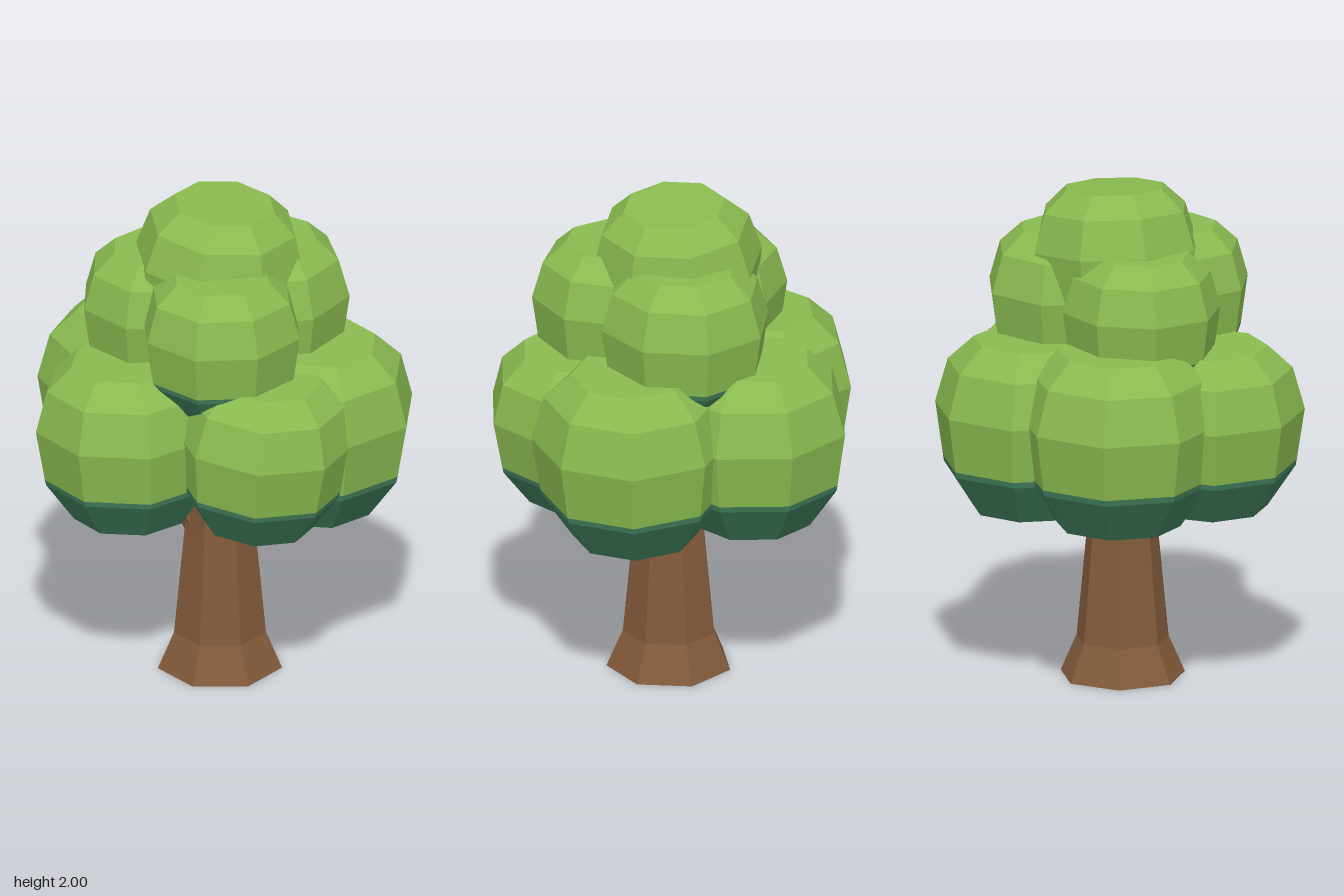
import * as THREE from 'three';

const mat = (name, color) => {
  const m = new THREE.MeshStandardMaterial({ color, flatShading: true });
  m.name = name;
  return m;
};

// Faceted solid of revolution; profile runs bottom to top, phase turns its corners (degrees from +x towards +z)
function facetedLathe(profile, sides, phase) {
  const points = profile.map(([r, y]) => new THREE.Vector2(r, y));
  return new THREE.LatheGeometry(points, sides, THREE.MathUtils.degToRad(90 - phase));
}

// Leaf clump cross-section for radius 1; the underside ends just above the lower ring
const UNDERSIDE = [[0, -1.05], [0.62, -1.05], [0.91, -0.62], [0.92, -0.56]];
const CROWN = [[0.92, -0.56], [1, 0], [0.87, 0.45], [0.6, 0.7], [0, 0.7]];

// name, x, y of the widest ring, z, radius, phase, tilt about z
const CLUMPS = [
  ['lowerBackClump', -0.04, 1.13, -0.32, 0.39, 30, 0],
  ['lowerLeftClump', 0.355, 1.13, -0.03, 0.4, 9, -0.03],
  ['lowerRightClump', -0.385, 1.14, -0.075, 0.4, 26, 0.02],
  ['lowerFrontRightClump', -0.3, 1.13, 0.327, 0.375, 14, 0.03],
  ['lowerFrontLeftClump', 0.253, 1.14, 0.313, 0.36, 31, -0.07],
  ['middleFrontClump', 0.065, 1.565, 0.275, 0.325, 1, 0],
  ['middleRightClump', -0.26, 1.55, 0.06, 0.315, 7, 0],
  ['middleBackClump', 0.12, 1.565, -0.11, 0.34, 38, 0],
  ['topClump', -0.02, 1.745, 0.03, 0.34, 42, -0.085],
];

export function createModel() {
  const tree = new THREE.Group();
  tree.name = 'tree';
  const leaf = mat('leaf green', 0x8aba50);
  const shade = mat('underside green', 0x3f7a58);
  const bark = mat('bark brown', 0x835b3b);

  const add = (parent, name, geometry, material) => {
    const mesh = new THREE.Mesh(geometry, material);
    mesh.name = name;
    parent.add(mesh);
    return mesh;
  };

  // Flared seven-sided trunk
  const trunk = add(tree, 'trunk', facetedLathe(
    [[0, 0], [0.25, 0], [0.185, 0.15], [0.142, 0.6], [0.13, 1.0], [0, 1.0]], 7, 46), bark);
  trunk.position.set(-0.01, 0, 0.06);

  // Short branches that run up into the leaves
  const branches = [
    ['rightBranch', [-0.07, 0.57, 0.1], [-0.25, 0.9, 0.1]],
    ['leftBranch', [0.07, 0.57, 0], [0.22, 0.9, -0.02]],
  ];
  for (const [name, from, to] of branches) {
    const a = new THREE.Vector3(...from), b = new THREE.Vector3(...to);
    const dir = b.clone().sub(a);
    const branch = add(tree, name, new THREE.CylinderGeometry(0.045, 0.055, dir.length(), 5), bark);
    branch.position.copy(a).add(b).multiplyScalar(0.5);
    branch.quaternion.setFromUnitVectors(new THREE.Vector3(0, 1, 0), dir.normalize());
  }

  // Eight-sided leaf clumps with dark undersides
  for (const [name, x, y, z, radius, phase, tilt] of CLUMPS) {
    const clump = new THREE.Group();
    clump.name = name;
    clump.position.set(x, y, z);
    clump.rotation.z = tilt;
    clump.scale.setScalar(radius);
    add(clump, 'crown', facetedLathe(CROWN, 8, phase), leaf);
    add(clump, 'underside', facetedLathe(UNDERSIDE, 8, phase), shade);
    tree.add(clump);
  }
  return tree;
}
